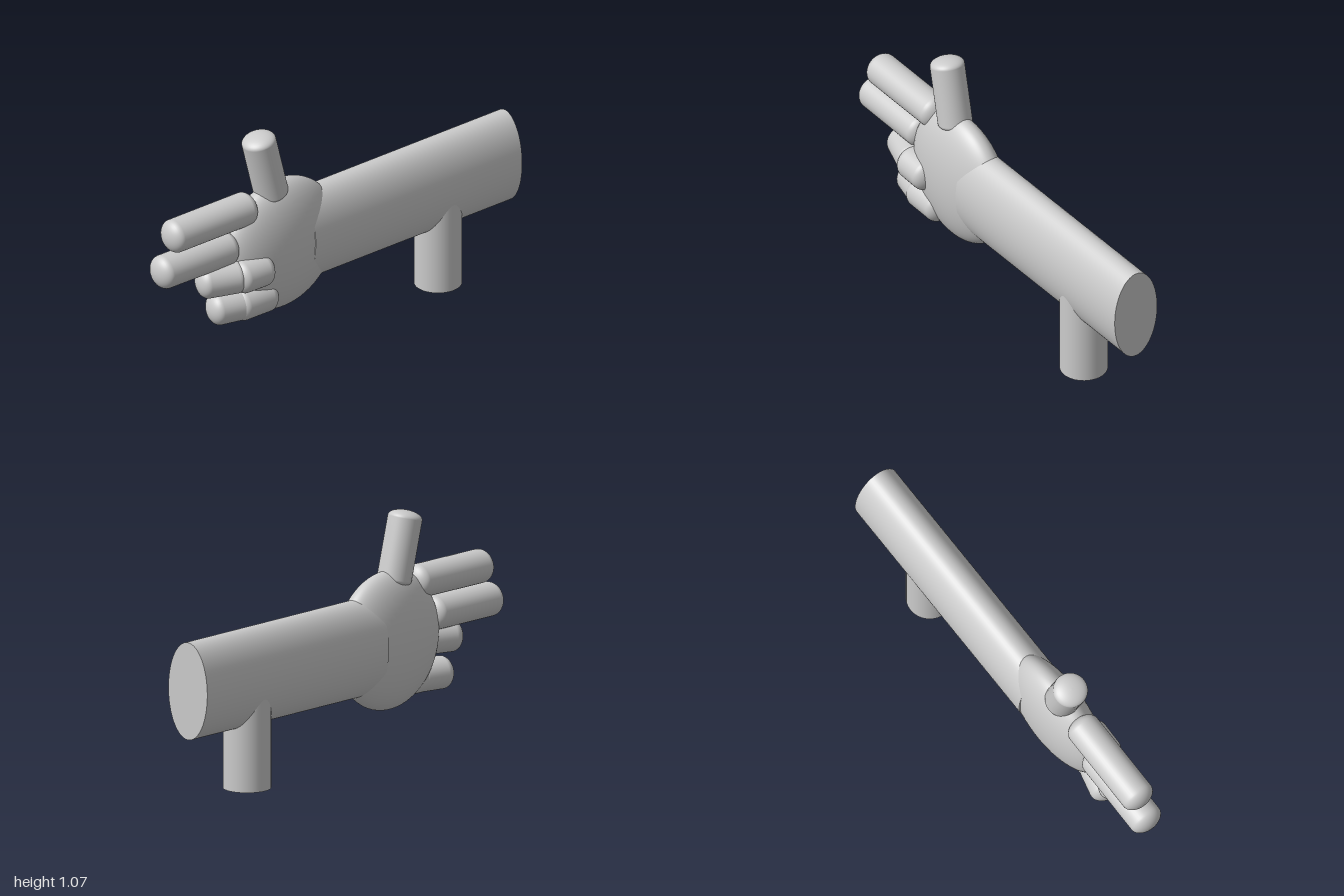
import * as THREE from 'three';

const material = new THREE.MeshStandardMaterial({ color: 0xcccccc });
const UP = new THREE.Vector3(0, 1, 0);
const YAW = 0.073; // whole arm swings slightly towards +x

function add(group, name, geometry) {
  const mesh = new THREE.Mesh(geometry, material);
  mesh.name = name;
  group.add(mesh);
  return mesh;
}

// Round rod with softened ends, running from point a to point b
function rod(group, name, a, b, radius = 0.076, cap = 0.05) {
  const from = new THREE.Vector3(...a);
  const dir = new THREE.Vector3(...b).sub(from);
  const length = dir.length();
  const profile = [];
  for (const end of [0, 1]) {
    for (let i = 0; i <= 10; i++) {
      const t = (i / 10) * Math.PI / 2;
      const angle = end ? Math.PI / 2 - t : t;
      const r = i === (end ? 10 : 0) ? 0 : radius * Math.sin(angle);
      const d = cap * (1 - Math.cos(angle));
      profile.push(new THREE.Vector2(r, end ? length - d : d));
    }
  }
  const mesh = add(group, name, new THREE.LatheGeometry(profile, 40));
  mesh.position.copy(from);
  mesh.quaternion.setFromUnitVectors(UP, dir.normalize());
  return mesh;
}

export function createModel() {
  const model = new THREE.Group();
  model.name = 'pointingArm';

  // Forearm: oval cylinder lying along z
  const forearmGeometry = new THREE.CylinderGeometry(1, 1, 1.18, 64);
  forearmGeometry.rotateX(Math.PI / 2).scale(0.115, 0.219, 1).rotateY(YAW);
  add(model, 'forearm', forearmGeometry).position.set(-0.032, 0.5, -0.403);

  // Support post
  add(model, 'post', new THREE.CylinderGeometry(0.106, 0.106, 0.45, 48))
    .position.set(-0.046, 0.225, -0.607);

  // Palm: flattened ball
  const palmGeometry = new THREE.SphereGeometry(1, 64, 40);
  palmGeometry.scale(0.118, 0.312, 0.312).rotateY(YAW);
  add(model, 'palm', palmGeometry).position.set(0.021, 0.502, 0.3);

  // Thumb and the two extended fingers
  rod(model, 'thumb', [0.023, 0.735, 0.337], [0.023, 1.068, 0.419], 0.077, 0.035);
  rod(model, 'indexFinger', [0.03, 0.733, 0.45], [0.062, 0.731, 0.94]);
  rod(model, 'middleFinger', [0.036, 0.573, 0.555], [0.064, 0.573, 1.0], 0.077);

  // Two curled fingers, each with a base and a tip segment
  const curled = [
    ['ringFinger', 0.45, [0.1, 0.405], [0.11, 0.61], [0.105, 0.54], [0.045, 0.765]],
    ['littleFinger', 0.295, [0.062, 0.36], [0.076, 0.59], [0.075, 0.5], [0.042, 0.7]],
  ];
  for (const [name, y, a, b, c, d] of curled) {
    const finger = new THREE.Group();
    finger.name = name;
    rod(finger, name + 'Base', [a[0], y, a[1]], [b[0], y, b[1]]);
    rod(finger, name + 'Tip', [c[0], y, c[1]], [d[0], y, d[1]], 0.074);
    model.add(finger);
  }
  return model;
}
